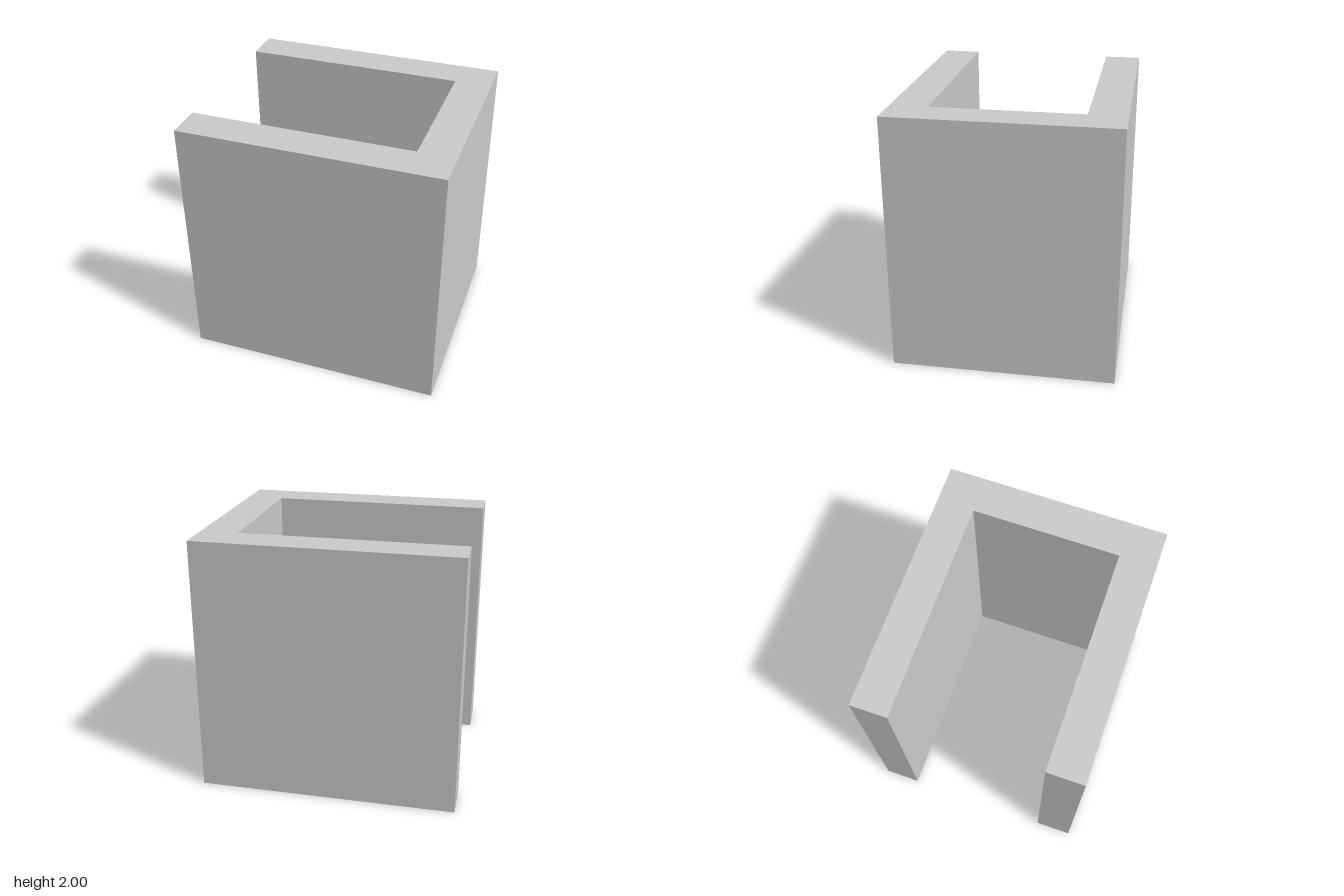
import * as THREE from 'three';

const HEIGHT = 2;
const HALF_WIDTH = 1;
const HALF_DEPTH = 6 / 7;
const WALL = 2 / 7;

export function createModel() {
  const group = new THREE.Group();
  group.name = 'channelBlock';

  // U-shaped plan, open towards -x
  const innerX = HALF_WIDTH - WALL;
  const innerZ = HALF_DEPTH - WALL;
  const plan = new THREE.Shape([
    [-HALF_WIDTH, -HALF_DEPTH],
    [HALF_WIDTH, -HALF_DEPTH],
    [HALF_WIDTH, HALF_DEPTH],
    [-HALF_WIDTH, HALF_DEPTH],
    [-HALF_WIDTH, innerZ],
    [innerX, innerZ],
    [innerX, -innerZ],
    [-HALF_WIDTH, -innerZ],
  ].map(([x, y]) => new THREE.Vector2(x, y)));

  // Plan extruded upwards into three joined walls
  const geometry = new THREE.ExtrudeGeometry(plan, { depth: HEIGHT, bevelEnabled: false });
  geometry.rotateX(-Math.PI / 2);

  const walls = new THREE.Mesh(geometry, new THREE.MeshStandardMaterial({ color: 0xcccccc }));
  walls.name = 'channelWalls';
  group.add(walls);
  return group;
}
